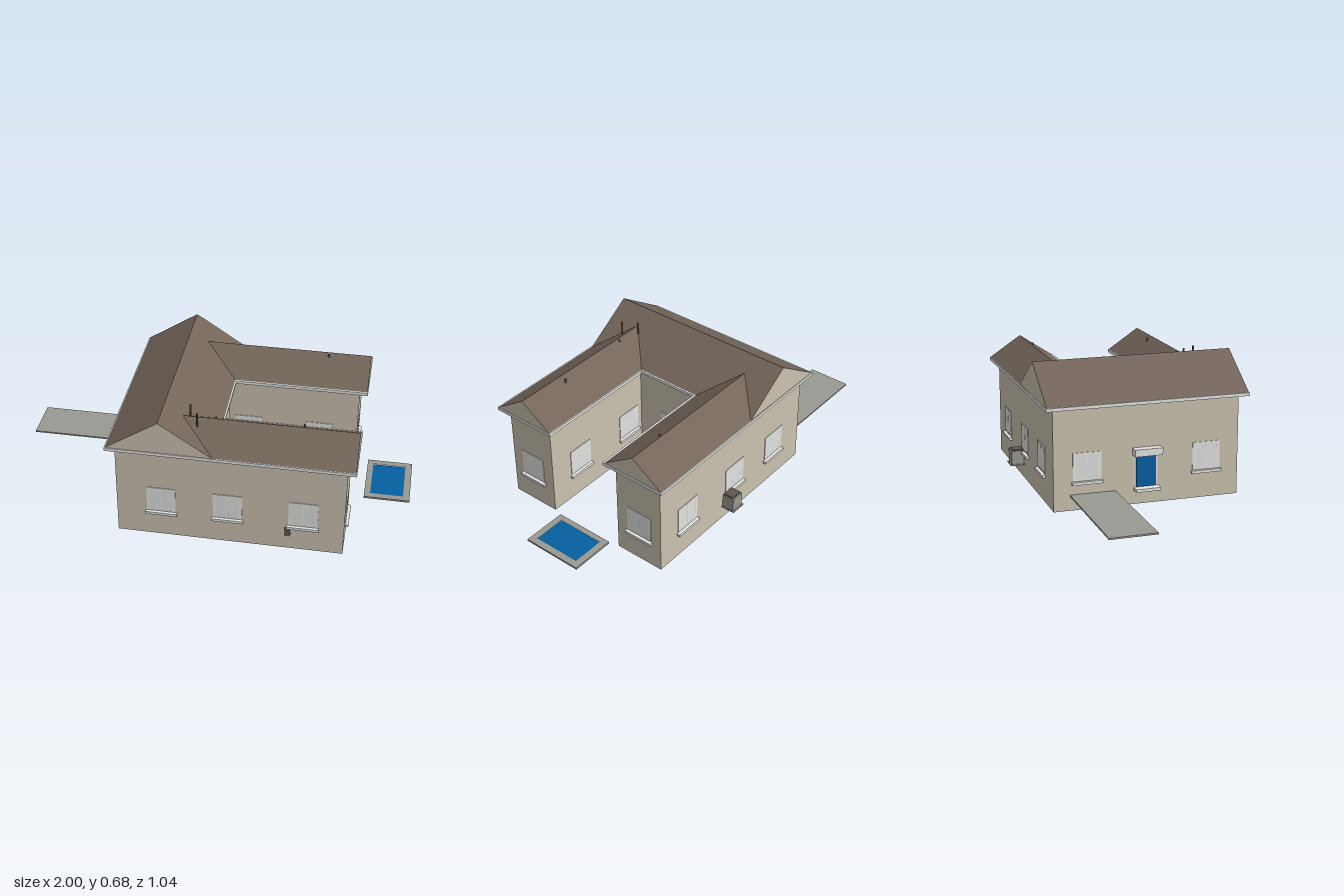
import * as THREE from 'three';

function mat(name, color) {
  const m = new THREE.MeshStandardMaterial({ color });
  m.name = name;
  return m;
}

export function createModel() {
  const house = new THREE.Group();
  house.name = 'house';
  const wall = mat('wall plaster', 0xcbc3b1);
  const trim = mat('white trim', 0xe6e6e4);
  const glass = mat('window pane', 0xe2e2e2);
  const roofMat = mat('roof brown', 0x73655a);
  const stone = mat('grey concrete', 0x9a9a94);
  const blue = mat('blue', 0x0560a0);
  const dark = mat('dark metal', 0x5d564e);
  const floorMat = mat('floor brown', 0x7d5843);

  const add = (name, geo, material, parent = house) => {
    const m = new THREE.Mesh(geo, material);
    m.name = name;
    parent.add(m);
    return m;
  };
  // Box from its lower and upper limits on each axis
  const box = (name, x0, x1, y0, y1, z0, z1, material, parent) => {
    const m = add(name, new THREE.BoxGeometry(x1 - x0, y1 - y0, z1 - z0), material, parent);
    m.position.set((x0 + x1) / 2, (y0 + y1) / 2, (z0 + z1) / 2);
    return m;
  };
  const rect = (Type, x0, x1, z0, z1) => new Type([
    new THREE.Vector2(x0, -z0), new THREE.Vector2(x1, -z0),
    new THREE.Vector2(x1, -z1), new THREE.Vector2(x0, -z1),
  ]);
  // Horizontal slab from a plan shape with optional rectangular holes
  const slab = (name, shape, y0, y1, material, holes = []) => {
    shape.holes = holes.map((h) => rect(THREE.Path, ...h));
    const geo = new THREE.ExtrudeGeometry(shape, { depth: y1 - y0, bevelEnabled: false });
    geo.rotateX(-Math.PI / 2).translate(0, y0, 0);
    return add(name, geo, material);
  };

  // U-shaped house plan, grown outwards by g
  const uPlan = (g) => new THREE.Shape([
    [-0.396, 0.48], [0.704, 0.48], [0.704, 0.222], [0.043, 0.222],
    [0.043, -0.19], [0.704, -0.19], [0.704, -0.45], [-0.396, -0.45],
  ].map(([x, z], i) => new THREE.Vector2(
    x + (i === 0 || i === 7 ? -g : g),
    -(z + (i < 2 || i === 4 || i === 5 ? g : -g)),
  )));

  // Hollow walls with three rooms, floor and eaves
  slab('walls', uPlan(0), 0, 0.5, wall, [
    [-0.376, 0.023, -0.43, 0.46],
    [0.043, 0.684, 0.242, 0.46],
    [0.043, 0.684, -0.43, -0.21],
  ]);
  slab('floor', uPlan(-0.01), 0.06, 0.075, floorMat);
  slab('eaves', uPlan(0.041), 0.499, 0.515, trim);

  // Gabled roofs: plaster on the end faces, brown on the slopes
  const gable = (half, rise, depth) => {
    const s = new THREE.Shape([
      new THREE.Vector2(-half, 0), new THREE.Vector2(half, 0), new THREE.Vector2(0, rise),
    ]);
    return new THREE.ExtrudeGeometry(s, { depth, bevelEnabled: false });
  };
  add('mainRoof', gable(0.255, 0.167, 1.004), [wall, roofMat]).position.set(-0.178, 0.515, -0.487);
  for (const [name, z] of [['frontWingRoof', 0.351], ['backWingRoof', -0.323]]) {
    const geo = gable(0.165, 0.11, 0.835).rotateY(Math.PI / 2);
    add(name, geo, [wall, roofMat]).position.set(-0.093, 0.515, z);
  }

  // Double window, built facing +z and then turned to its wall
  const windowAt = (x, z, angle) => {
    const w = new THREE.Group();
    w.name = 'window';
    const panes = [-0.03, 0.03];
    const frame = rect(THREE.Shape, -0.07, 0.07, -0.28, -0.145);
    frame.holes = panes.map((c) => rect(THREE.Path, c - 0.025, c + 0.025, -0.272, -0.153));
    add('windowFrame', new THREE.ExtrudeGeometry(frame, { depth: 0.003, bevelEnabled: false }), trim, w);
    for (const c of panes) {
      box('windowPane', c - 0.025, c + 0.025, 0.153, 0.272, 0, 0.0015, glass, w);
    }
    box('windowSill', -0.077, 0.077, 0.126, 0.14, 0, 0.016, trim, w);
    w.position.set(x, 0, z);
    w.rotation.y = angle;
    house.add(w);
  };
  for (const x of [-0.178, 0.144, 0.507]) {
    windowAt(x, 0.48, 0);
    windowAt(x, -0.45, Math.PI);
  }
  for (const x of [0.144, 0.507]) {
    windowAt(x, 0.222, Math.PI);
    windowAt(x, -0.19, 0);
  }
  windowAt(0.704, 0.352, Math.PI / 2);
  windowAt(0.704, -0.323, Math.PI / 2);
  windowAt(0.043, 0.015, Math.PI / 2);
  for (const z of [0.315, -0.285]) windowAt(-0.396, z, -Math.PI / 2);

  // Entrance with canopy and step
  box('doorFrame', -0.398, -0.396, 0.078, 0.25, -0.05, 0.065, trim);
  box('door', -0.4, -0.396, 0.082, 0.243, -0.042, 0.057, blue);
  box('canopy', -0.437, -0.396, 0.245, 0.28, -0.06, 0.08, trim);
  box('doorStep', -0.441, -0.396, 0.07, 0.085, -0.055, 0.07, trim);

  // Driveway and pool
  box('driveway', -1, -0.396, 0.069, 0.077, -0.37, -0.145, stone);
  slab('poolSurround', rect(THREE.Shape, 0.774, 1, -0.193, 0.117), 0.067, 0.077, stone,
    [[0.803, 0.967, -0.16, 0.085]]);
  box('poolWater', 0.802, 0.968, 0.068, 0.074, -0.161, 0.086, blue);

  // Cooling unit on the back wall
  box('coolerBase', 0.16, 0.24, 0.07, 0.076, -0.522, -0.45, stone);
  box('coolerBody', 0.165, 0.235, 0.076, 0.145, -0.515, -0.452, stone);
  box('coolerLid', 0.17, 0.23, 0.145, 0.151, -0.508, -0.455, dark);

  // Meter boxes on the two wings
  for (const z of [0.48, -0.19]) box('meterBox', 0.42, 0.45, 0.076, 0.125, z, z + 0.005, dark);

  // Flue pipes and small roof vents
  const pipe = (name, x, z, y0, y1, r) => {
    add(name, new THREE.CylinderGeometry(r, r, y1 - y0, 12), dark).position.set(x, (y0 + y1) / 2, z);
  };
  pipe('fluePipe', -0.016, 0.39, 0.57, 0.67, 0.004);
  pipe('fluePipe', -0.06, 0.322, 0.57, 0.67, 0.004);
  pipe('roofVent', 0.48, 0.32, 0.58, 0.622, 0.005);
  pipe('roofVent', 0.53, -0.305, 0.59, 0.624, 0.005);
  pipe('roofVent', 0.065, 0.338, 0.6, 0.626, 0.004);

  return house;
}
